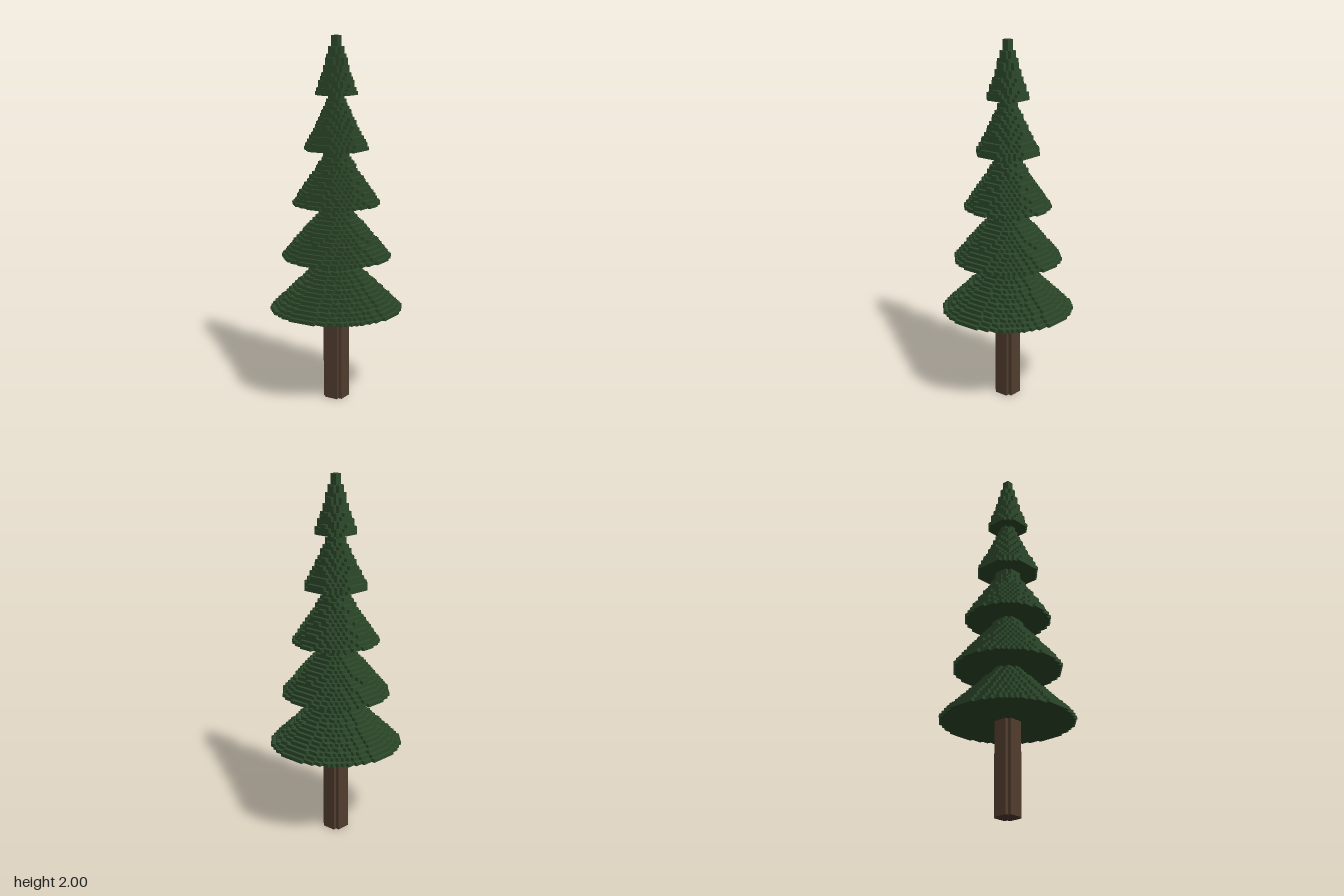
import * as THREE from 'three';
import { mergeGeometries } from 'three/addons/utils/BufferGeometryUtils.js';

const V = 2 / 102; // edge of one voxel

// Half width, in voxels, of the disc row whose centre lies z away from the axis
function halfWidth(radius, z) {
  const room = radius * radius - z * z;
  return room < 0.25 ? 0 : Math.floor(Math.sqrt(room) + 0.5);
}

// Stepped disc of the given radius, from layer y up, all in voxels
function voxelDisc(radius, y, height) {
  const rows = [];
  for (let z = -Math.ceil(radius); z < Math.ceil(radius); z++) {
    const w = halfWidth(radius, z + 0.5);
    if (w > 0) rows.push([z, w]);
  }
  const right = [];
  for (const [z, w] of rows) {
    right.push(new THREE.Vector2(w * V, z * V), new THREE.Vector2(w * V, (z + 1) * V));
  }
  const left = right.map((p) => new THREE.Vector2(-p.x, p.y)).reverse();
  // Drop repeated corners where neighbouring rows are equally wide
  const outline = [...right, ...left].filter((p, i, all) => i === 0 || p.distanceTo(all[i - 1]) > V / 10);
  const geometry = new THREE.ExtrudeGeometry(new THREE.Shape(outline), {
    depth: height * V, bevelEnabled: false,
  });
  geometry.rotateX(-Math.PI / 2);
  geometry.translate(0, y * V, 0);
  return geometry;
}

export function createModel() {
  const needles = new THREE.MeshStandardMaterial({ name: 'needle green', color: 0x2d4a2b });
  const bark = new THREE.MeshStandardMaterial({ name: 'bark brown', color: 0x523d2f });
  const tree = new THREE.Group();
  tree.name = 'pineTree';

  function add(name, geometry, material) {
    const mesh = new THREE.Mesh(geometry, material);
    mesh.name = name;
    tree.add(mesh);
  }

  // Trunk
  const trunkHeight = 26;
  add('trunk', voxelDisc(3, 0, trunkHeight), bark);

  // Five tiers of branches, each a stepped cone narrowing to a fifth of its base
  const layers = 15;
  for (let tier = 0; tier < 5; tier++) {
    const base = 18 - 3.1875 * tier;
    const core = tier < 3 ? 3 : 1; // foliage around the trunk never gets thinner
    const discs = [];
    for (let i = 0; i < layers; i++) {
      const radius = Math.max(core, base * (1 - (0.8 * i) / (layers - 1)));
      discs.push(voxelDisc(radius, trunkHeight + tier * layers + i, 1));
    }
    add(`branchTier${tier + 1}`, mergeGeometries(discs), needles);
  }

  // Tip
  add('tip', voxelDisc(1, trunkHeight + 5 * layers, 1), needles);
  return tree;
}
